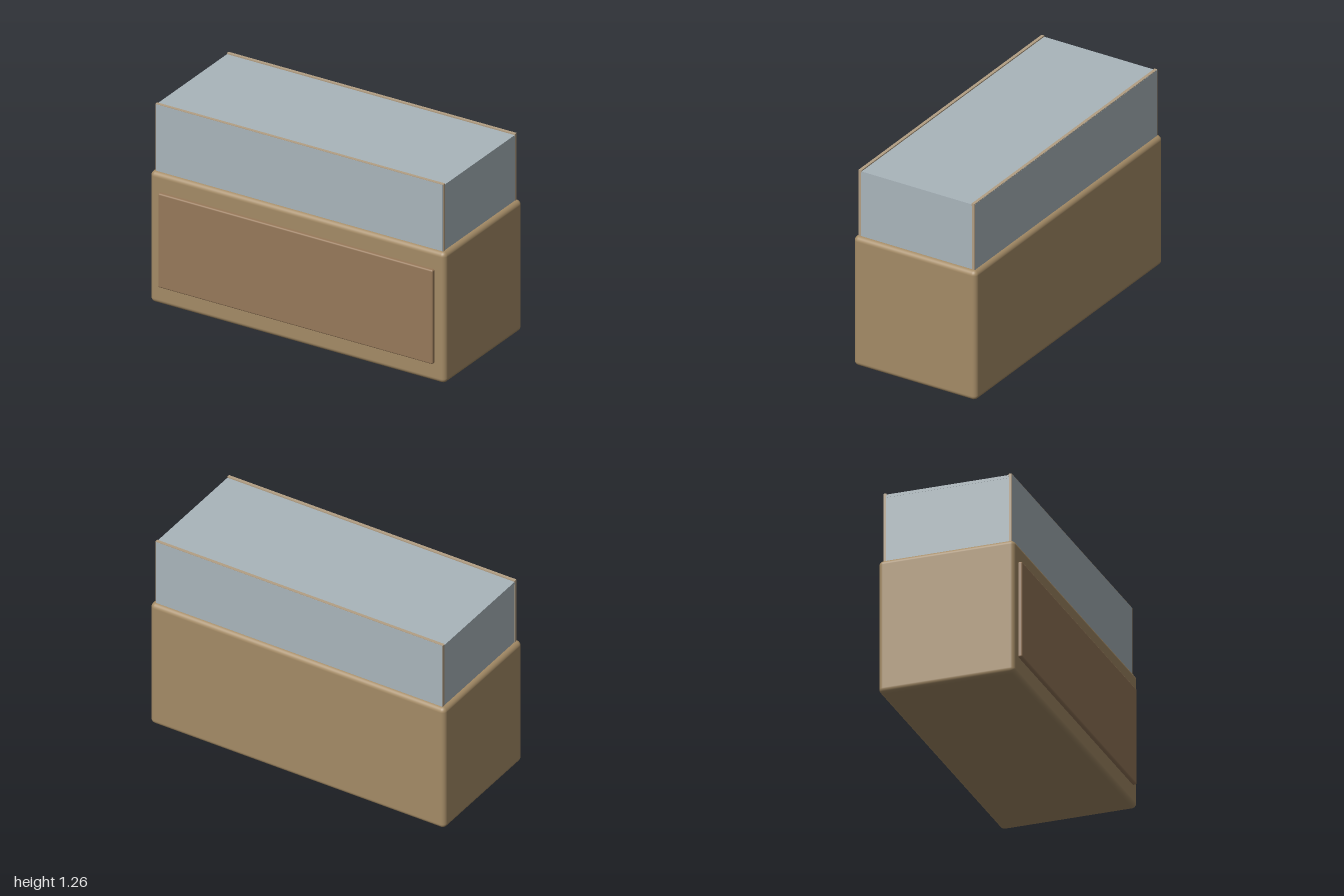
import * as THREE from 'three';
import { RoundedBoxGeometry } from 'three/addons/geometries/RoundedBoxGeometry.js';

const wood = new THREE.MeshStandardMaterial({ color: 0xa48b66 });
const darkWood = new THREE.MeshStandardMaterial({ color: 0x97795a });
const trim = new THREE.MeshStandardMaterial({ color: 0xb39f84 });
const glass = new THREE.MeshStandardMaterial({ color: 0xa9b5bb });

// Box given by its lower and upper corners, rounded when a radius is set
function block(name, material, min, max, radius = 0) {
  const size = max.map((v, i) => v - min[i]);
  const geometry = radius
    ? new RoundedBoxGeometry(...size, 4, radius)
    : new THREE.BoxGeometry(...size);
  const mesh = new THREE.Mesh(geometry, material);
  mesh.name = name;
  mesh.position.set(...max.map((v, i) => (v + min[i]) / 2));
  return mesh;
}

export function createModel() {
  const model = new THREE.Group();
  model.name = 'displayCounter';

  // Counter body with a raised panel on the front
  model.add(block('counterBody', wood, [-1, 0, -0.427], [1, 0.838, 0.407], 0.03));
  model.add(block('frontPanel', darkWood, [-0.93, 0.12, 0.38], [0.93, 0.722, 0.43], 0.01));

  // Glass case: front and back panes, each edged by a thin rail and posts
  const glassCase = new THREE.Group();
  glassCase.name = 'glassCase';
  glassCase.position.z = -0.01;
  for (const [side, s] of [['front', 1], ['back', -1]]) {
    const z = s * 0.385;
    const span = (a, b) => [Math.min(s * a, s * b), Math.max(s * a, s * b)];
    const [p0, p1] = span(0.383, 0.394);
    const [r0, r1] = span(0.374, 0.393);
    glassCase.add(block(side + 'Pane', glass, [-0.971, 0.83, p0], [0.971, 1.262, p1]));
    glassCase.add(block(side + 'Rail', trim, [-0.975, 1.25, r0], [0.975, 1.265, r1]));
    for (const x of [-1, 1]) {
      const post = block(side + 'Post', trim, [-0.008, 0.83, -0.008], [0.008, 1.255, 0.008]);
      post.position.x = x * 0.967;
      post.position.z = z;
      glassCase.add(post);
    }
  }

  // End panes and top shelf between the front and back
  for (const [name, x] of [['rightPane', -0.967], ['leftPane', 0.967]]) {
    glassCase.add(block(name, glass, [x - 0.006, 0.83, -0.378], [x + 0.006, 1.256, 0.378]));
  }
  glassCase.add(block('glassTop', glass, [-0.974, 1.24, -0.376], [0.974, 1.258, 0.376]));
  model.add(glassCase);

  return model;
}
